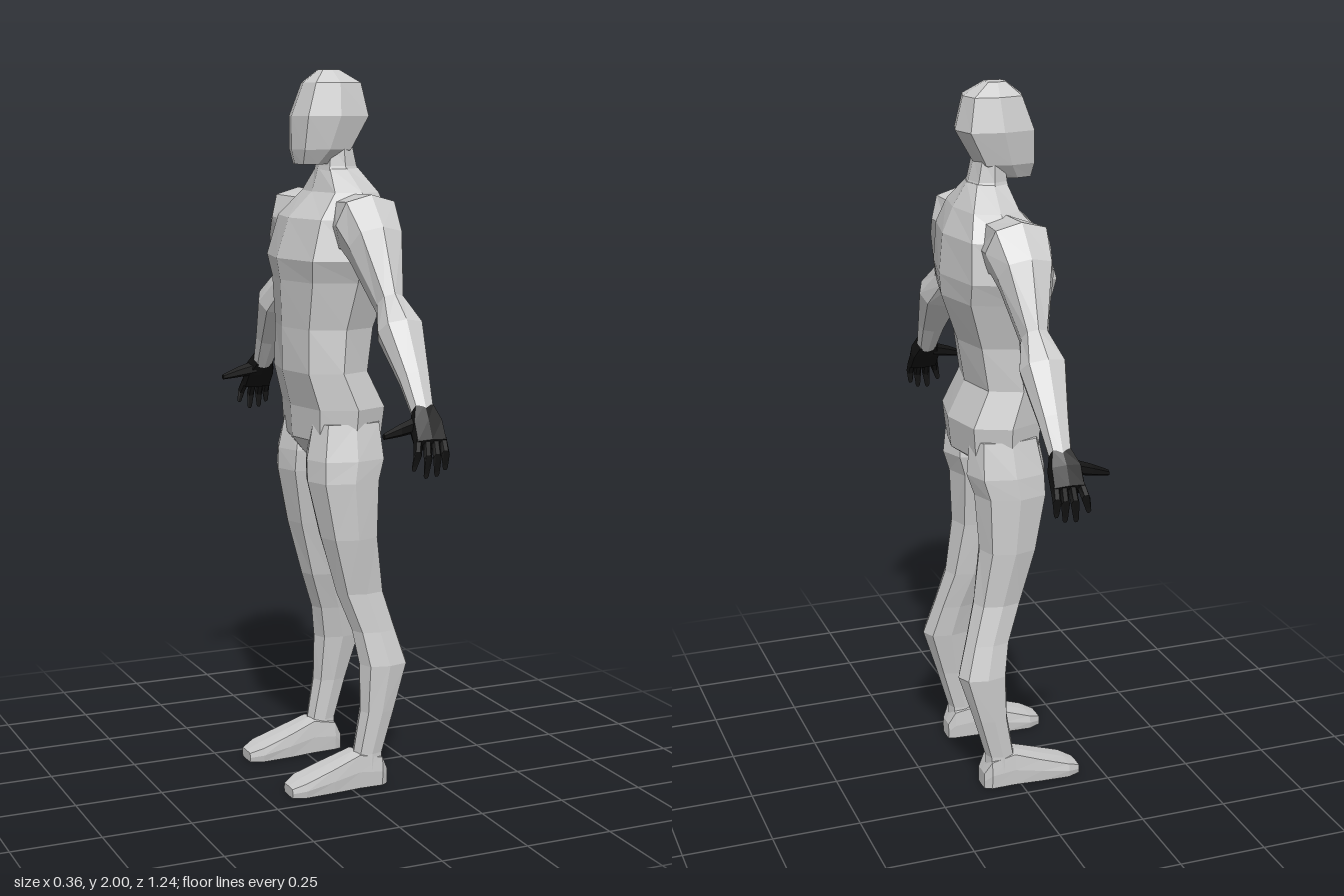
import * as THREE from 'three';

const V = (x, y, z) => new THREE.Vector3(x, y, z);
const skin = new THREE.MeshStandardMaterial({ color: 0xcccccc, flatShading: true });
const dark = new THREE.MeshStandardMaterial({ color: 0x111111, flatShading: true });

// One cross-section: centre c, half axes u and v, n corners; k pushes the diagonals out.
function ring(c, u, v, n = 8, k = 1.08) {
  return Array.from({ length: n }, (_, i) => {
    const a = (i / n) * Math.PI * 2;
    const f = n === 8 && i % 2 ? k : 1;
    return c.clone().addScaledVector(u, Math.cos(a) * f).addScaledVector(v, Math.sin(a) * f);
  });
}

// Skin a list of rings into a closed body, turned outward by its signed volume.
function loft(name, rings, material = skin) {
  const tris = [];
  const n = rings[0].length;
  for (let r = 0; r < rings.length - 1; r++) {
    for (let i = 0; i < n; i++) {
      const j = (i + 1) % n;
      const [a, b, c, d] = [rings[r][i], rings[r][j], rings[r + 1][j], rings[r + 1][i]];
      tris.push([a, b, c], [a, c, d]);
    }
  }
  const first = rings[0], last = rings[rings.length - 1];
  for (let i = 1; i < n - 1; i++) {
    tris.push([first[0], first[i + 1], first[i]], [last[0], last[i], last[i + 1]]);
  }
  const o = first[0];
  const volume = tris.reduce((s, [a, b, c]) =>
    s + a.clone().sub(o).dot(b.clone().sub(o).cross(c.clone().sub(o))), 0);
  if (volume < 0) tris.forEach((t) => t.reverse());
  const geometry = new THREE.BufferGeometry().setFromPoints(tris.flat());
  geometry.computeVertexNormals();
  const mesh = new THREE.Mesh(geometry, material);
  mesh.name = name;
  return mesh;
}

// Level section between xFront..xBack and z0..z1 at height y
const level = (y, xf, xb, z0, z1, k) =>
  ring(V((xf + xb) / 2, y, (z0 + z1) / 2), V((xb - xf) / 2, 0, 0), V(0, 0, (z1 - z0) / 2), 8, k);

// Limb section: centre, half width a along x, half depth b tilted by t degrees in the y-z plane
const tilted = (s, x, y, z, a, b, t, n = 8, k) => {
  const r = THREE.MathUtils.degToRad(t);
  return ring(V(x, y, z * s), V(a, 0, 0), V(0, Math.cos(r) * b, Math.sin(r) * b * s), n, k);
};

export function createModel() {
  const body = new THREE.Group();
  body.name = 'figure';

  // Torso: y, front x, back x, half width
  body.add(loft('torso', [
    [0.94, -0.06, 0.07, 0.06],
    [0.99, -0.10, 0.14, 0.17],
    [1.08, -0.105, 0.15, 0.18],
    [1.18, -0.13, 0.10, 0.165],
    [1.30, -0.13, 0.12, 0.16],
    [1.43, -0.135, 0.165, 0.19],
    [1.49, -0.145, 0.17, 0.215],
    [1.60, -0.11, 0.16, 0.20],
    [1.67, -0.04, 0.13, 0.15],
    [1.735, -0.02, 0.09, 0.065],
  ].map(([y, f, b, w]) => level(y, f, b, -w, w))));

  // Neck and head
  body.add(loft('neck', [
    [1.66, -0.04, 0.125, 0.09],
    [1.74, -0.02, 0.085, 0.066],
    [1.80, -0.01, 0.07, 0.06],
  ].map(([y, f, b, w]) => level(y, f, b, -w, w))));
  body.add(loft('head', [
    [1.745, -0.09, 0.01, 0.045],
    [1.785, -0.10, 0.07, 0.07],
    [1.875, -0.10, 0.122, 0.086],
    [1.965, -0.065, 0.10, 0.066],
    [2.0, -0.02, 0.04, 0.025],
  ].map(([y, f, b, w]) => level(y, f, b, -w, w, 1.14))));

  for (const s of [1, -1]) {
    const side = s > 0 ? 'left' : 'right';

    // Leg: y, front x, back x, inner z, outer z
    body.add(loft(side + 'Leg', [
      [1.04, -0.08, 0.12, 0.03, 0.17],
      [0.94, -0.10, 0.13, 0.012, 0.195],
      [0.88, -0.10, 0.11, 0.018, 0.20],
      [0.72, -0.065, 0.10, 0.045, 0.197],
      [0.56, -0.02, 0.12, 0.07, 0.18],
      [0.45, 0.02, 0.15, 0.095, 0.195],
      [0.355, 0.035, 0.178, 0.11, 0.215],
      [0.22, 0.035, 0.135, 0.127, 0.21],
      [0.10, 0.015, 0.10, 0.132, 0.203],
      [0.05, 0.01, 0.10, 0.13, 0.205],
    ].map(([y, f, b, i, o]) => level(y, f, b, i * s, o * s))));

    // Foot: x, top height, inner z, outer z
    body.add(loft(side + 'Foot', [
      [0.11, 0.05, 0.135, 0.19],
      [0.09, 0.09, 0.125, 0.205],
      [0.02, 0.105, 0.12, 0.205],
      [-0.06, 0.075, 0.112, 0.21],
      [-0.145, 0.045, 0.11, 0.212],
      [-0.182, 0.028, 0.13, 0.195],
    ].map(([x, h, i, o]) =>
      ring(V(x, h / 2, (i + o) / 2 * s), V(0, h / 2, 0), V(0, 0, (o - i) / 2), 8, 1.3))));

    // Arm: x, y, z, half width, half depth, tilt
    body.add(loft(side + 'Arm', [
      [0.03, 1.58, 0.13, 0.07, 0.088, 0],
      [0.025, 1.59, 0.225, 0.092, 0.085, 18],
      [0.025, 1.535, 0.28, 0.078, 0.071, 39],
      [0.03, 1.39, 0.355, 0.036, 0.045, 48],
      [0.03, 1.325, 0.42, 0.064, 0.053, 48],
      [0.032, 1.21, 0.502, 0.042, 0.034, 45],
      [0.032, 1.125, 0.555, 0.03, 0.025, 40],
    ].map((p) => tilted(s, ...p))));

    // Hand: palm, four splayed fingers and a thumb pointing forward
    const hand = new THREE.Group();
    hand.name = side + 'Hand';
    hand.add(loft('palm', [
      [0.032, 1.135, 0.549, 0.03, 0.024, 40],
      [0.03, 1.10, 0.575, 0.046, 0.024, 40],
      [0.03, 1.055, 0.604, 0.047, 0.018, 30],
    ].map((p) => tilted(s, ...p, 8, 1.2)), dark));
    const fingers = [[-0.005, -0.022, 0.998], [0.02, 0.012, 0.977], [0.043, 0.042, 0.98], [0.065, 0.066, 0.995]];
    fingers.forEach(([x0, x1, y1], i) => hand.add(loft('finger' + (i + 1), [
      tilted(s, x0, 1.065, 0.601, 0.012, 0.014, 30, 6),
      tilted(s, (x0 + x1) / 2, (1.065 + y1) / 2, 0.617, 0.012, 0.013, 15, 6),
      tilted(s, x1, y1, 0.615, 0.007, 0.007, 0, 6),
    ], dark)));
    const across = [V(0, 1, 0), V(0, 0, 1)];
    hand.add(loft('thumb', [
      [0.01, 1.105, 0.568, 0.022],
      [-0.045, 1.092, 0.575, 0.016],
      [-0.09, 1.08, 0.578, 0.008],
    ].map(([x, y, z, r]) => ring(V(x, y, z * s),
      across[0].clone().multiplyScalar(r), across[1].clone().multiplyScalar(r), 6)), dark));
    body.add(hand);
  }
  return body;
}
